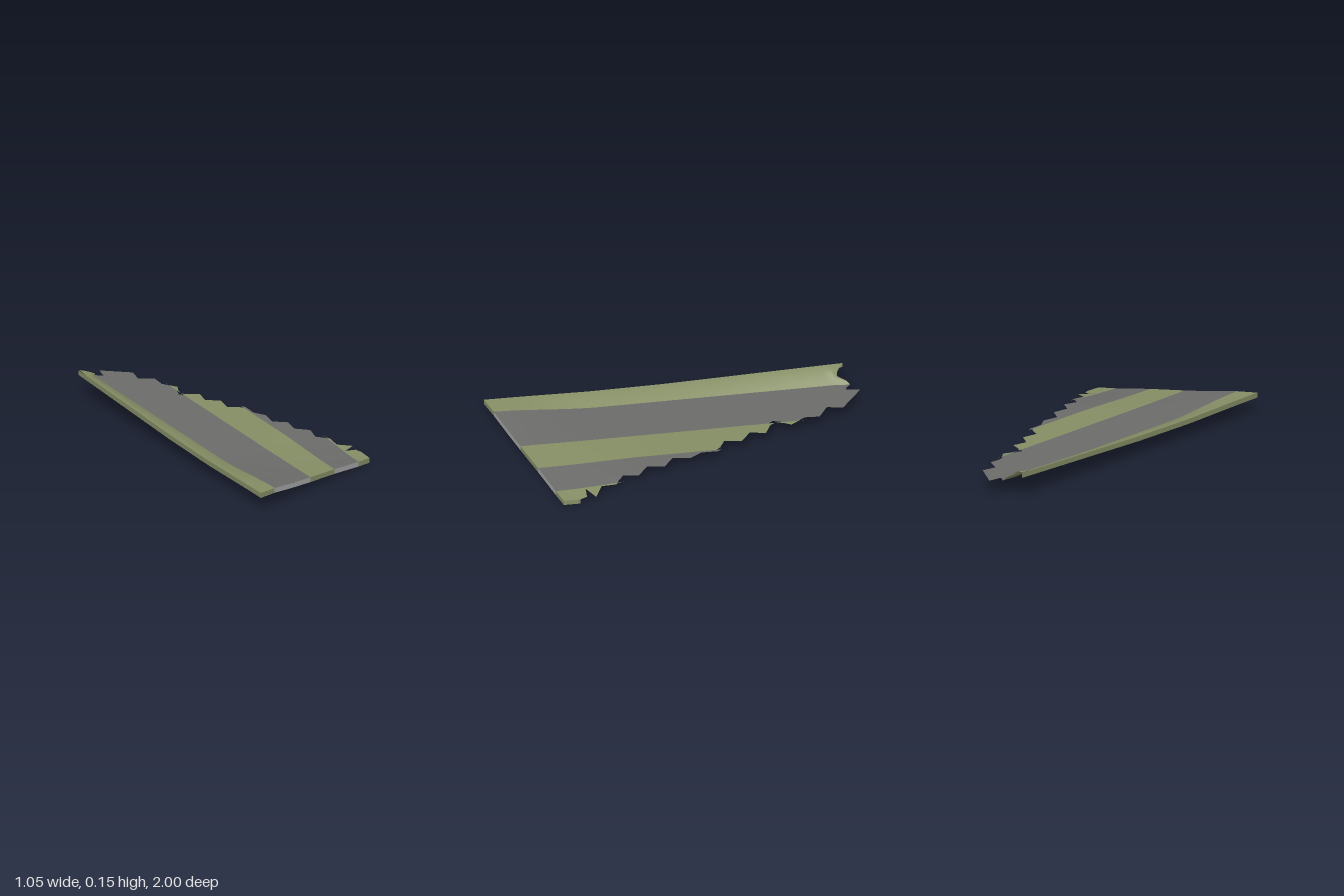
import * as THREE from 'three';

// Piecewise-linear lookup through [key, value] pairs
function lerpTable(table, k) {
  if (k <= table[0][0]) return table[0][1];
  for (let i = 1; i < table.length; i++) {
    const [k0, v0] = table[i - 1], [k1, v1] = table[i];
    if (k <= k1) return v0 + (v1 - v0) * (k - k0) / (k1 - k0);
  }
  return table[table.length - 1][1];
}

// Torn right edge (z -> x) and torn rear edge (x -> z)
const tornSide = [
  [-1, 0.39], [-0.83, 0.495], [-0.75, 0.445], [-0.67, 0.505], [-0.59, 0.47], [-0.49, 0.495],
  [-0.41, 0.41], [-0.32, 0.495], [-0.24, 0.445], [-0.16, 0.495], [-0.07, 0.445], [0.01, 0.515],
  [0.1, 0.48], [0.18, 0.495], [0.27, 0.445], [0.35, 0.495], [0.44, 0.445], [0.52, 0.495],
  [0.6, 0.445], [0.67, 0.495], [0.75, 0.46], [0.82, 0.525], [0.84, 0.43], [0.865, 0.495],
  [0.91, 0.495], [1, 0.46],
];
const tornRear = [[0.19, -0.99], [0.25, -0.91], [0.315, -0.98], [0.342, -0.92], [0.39, -1]];

// Heights: front section by distance from the leading edge, leading edge by z
const frontProfile = [[0, 0.115], [0.13, 0.109], [0.28, 0.091], [0.46, 0.075], [0.67, 0.06], [0.89, 0.038], [1.02, 0.03]];
const leadHeight = [[-1, 0.155], [0, 0.116], [0.4, 0.109], [1, 0.112]];
const STRIP = 0.125, DEPTH = 0.03;

const leadX = z => -0.53 + (1 - z) * 0.362;

function height(s, z) {
  const flat = 0.08 - 0.008 * z;
  const t = Math.min(s / STRIP, 1);
  const rear = flat + (lerpTable(leadHeight, z) - flat) * (1 - Math.pow(t, 1.45));
  const w = THREE.MathUtils.smoothstep(z, 0.4, 1);
  return rear + (lerpTable(frontProfile, s) - rear) * w;
}

// Rows from rear to front, including every torn point
const rows = tornSide.map(p => p[0]);
for (let z = -0.9; z < 1; z += 0.04) rows.push(z);
rows.sort((a, b) => a - b);

function gridGeometry(positions, index) {
  const g = new THREE.BufferGeometry();
  g.setAttribute('position', new THREE.Float32BufferAttribute(positions, 3));
  g.setIndex(index);
  g.computeVertexNormals();
  return g;
}

// One painted band of the skin, between two distances from the leading edge
function skinBand(s0, s1, n) {
  const pos = [], idx = [], widths = [];
  for (const z of rows) {
    const end = Math.max(s0, Math.min(s1, lerpTable(tornSide, z) - leadX(z)));
    widths.push(end - s0);
    for (let j = 0; j <= n; j++) {
      const s = s0 + (end - s0) * j / n;
      const x = leadX(z) + s;
      pos.push(x, height(s, z), z < -0.9 ? Math.max(z, lerpTable(tornRear, x)) : z);
    }
  }
  for (let i = 0; i < rows.length - 1; i++) {
    if (widths[i] + widths[i + 1] < 1e-5) continue;
    for (let j = 0; j < n; j++) {
      const a = i * (n + 1) + j, b = a + n + 1;
      idx.push(a, b, a + 1, b, b + 1, a + 1);
    }
  }
  return gridGeometry(pos, idx);
}

// Upright rim hanging below a line of [x, z] points on the skin
function rim(points) {
  const pos = [], idx = [];
  points.forEach(([x, z], i) => {
    const y = height(Math.max(0, x - leadX(z)), z);
    pos.push(x, y, z, x, Math.max(0, y - DEPTH), z);
    if (i) {
      const a = 2 * i - 2;
      idx.push(a, a + 1, a + 2, a + 1, a + 3, a + 2);
    }
  });
  return gridGeometry(pos, idx);
}

export function createModel() {
  const group = new THREE.Group();
  const paint = (name, color) => {
    const m = new THREE.MeshStandardMaterial({ color, side: THREE.DoubleSide });
    m.name = name;
    return m;
  };
  const green = paint('olive green', 0x868f66);
  const grey = paint('dark grey', 0x6c6c6b);
  const light = paint('light grey', 0xa6a6a6);
  const add = (name, geometry, material) => {
    const mesh = new THREE.Mesh(geometry, material);
    mesh.name = name;
    group.add(mesh);
  };

  // Striped skin, with the cut front rim in matching sections
  const edges = [0, STRIP, 0.452, 0.67, 0.89, 0.99];
  for (let k = 0; k < 5; k++) {
    const s0 = edges[k], s1 = edges[k + 1], odd = k % 2 === 1;
    add('skinBand' + (k + 1), skinBand(s0, k === 4 ? 2 : s1, k === 0 ? 6 : 5), odd ? grey : green);
    const line = [];
    for (let j = 0; j <= 4; j++) line.push([leadX(1) + s0 + (s1 - s0) * j / 4, 1]);
    add('frontRim' + (k + 1), rim(line), odd ? light : green);
  }

  // Leading edge rim, rear to front so that it faces outward
  const lead = [];
  for (let i = 0; i <= 24; i++) {
    const z = -0.99 + 1.99 * i / 24;
    lead.push([leadX(z), z]);
  }
  add('leadingRim', rim(lead), green);

  // Short remaining piece of the trailing rim
  add('trailingRim', rim([[0.46, 1], [0.495, 0.91]]), green);
  return group;
}
